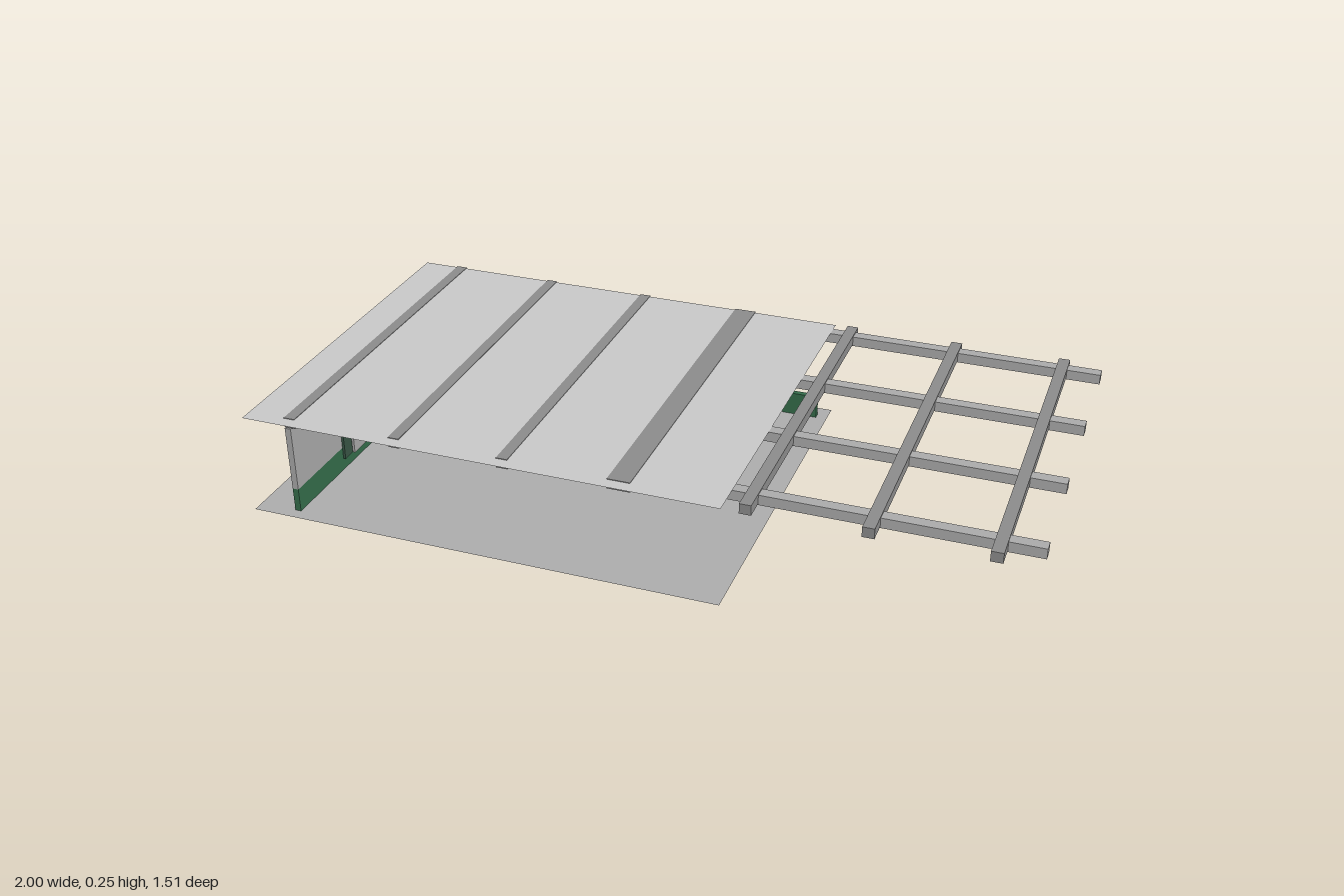
import * as THREE from 'three';

const mat = (name, color, side = THREE.FrontSide) => {
  const m = new THREE.MeshStandardMaterial({ color, side });
  m.name = name;
  return m;
};

export function createModel() {
  const model = new THREE.Group();
  model.name = 'pavilion';
  model.rotation.y = Math.atan2(0.365, 0.931); // the building stands turned on its site

  const roofGrey = mat('roof grey', 0xc8c8c8, THREE.DoubleSide);
  const floorGrey = mat('floor grey', 0xadadad, THREE.DoubleSide);
  const beamGrey = mat('beam grey', 0x8c8c8c);
  const railGrey = mat('rafter grey', 0xababab);
  const wallGrey = mat('wall grey', 0xa8a8a8);
  const green = mat('plinth green', 0x346c4a);
  const boardGreen = mat('board green', 0x385545);
  const dark = mat('frame dark', 0x3a3a3a);

  // Box given by its limits along each axis
  const box = (name, material, [x0, x1], [y0, y1], [z0, z1], parent = model) => {
    const mesh = new THREE.Mesh(new THREE.BoxGeometry(x1 - x0, y1 - y0, z1 - z0), material);
    mesh.position.set((x0 + x1) / 2, (y0 + y1) / 2, (z0 + z1) / 2);
    mesh.name = name;
    parent.add(mesh);
    return mesh;
  };
  const sheet = (name, material, y) => {
    const mesh = new THREE.Mesh(new THREE.PlaneGeometry(1.152, 0.924).rotateX(-Math.PI / 2), material);
    mesh.position.set(-0.315, y, -0.005);
    mesh.name = name;
    model.add(mesh);
  };
  const group = (name) => {
    const g = new THREE.Group();
    g.name = name;
    model.add(g);
    return g;
  };

  // Floor and roof sheets of equal size
  sheet('floor', floorGrey, 0.001);
  sheet('roof', roofGrey, 0.247);

  // Main beams across the building and pergola, tops just proud of the roof
  const beams = group('beams');
  for (const x of [-0.787, -0.521, -0.255, 0.02, 0.305, 0.57, 0.835]) {
    const h = x === 0.02 ? 0.027 : 0.0135;
    box('beam', beamGrey, [x - h, x + h], [0.224, 0.2485], [-0.47, 0.426], beams);
  }

  // Long rafters running the full length
  const rafters = group('rafters');
  for (const z of [-0.433, -0.169, 0.097, 0.362]) {
    box('rafter', railGrey, [-0.875, 0.928], [0.221, 0.2455], [z - 0.014, z + 0.014], rafters);
  }

  // Side wall: green plinth with grey wall above
  box('sidePlinth', green, [-0.8, -0.785], [0, 0.06], [-0.431, 0.428]);
  box('sideWall', wallGrey, [-0.8, -0.785], [0.06, 0.222], [-0.431, 0.428]);

  // Back wall: low plinth and a corner pier
  box('backPlinth', green, [-0.785, 0.233], [0, 0.06], [-0.431, -0.416]);
  box('cornerPier', wallGrey, [-0.785, -0.757], [0.06, 0.222], [-0.431, -0.416]);

  // Wall board with a panel sliding in front of it
  box('board', boardGreen, [-0.785, -0.779], [0.03, 0.178], [-0.256, 0.222]);
  box('boardPanel', wallGrey, [-0.777, -0.771], [0.032, 0.19], [-0.044, 0.19]);

  // Sliding windows: four bays, each with two overlapping sashes
  const windows = group('windows');
  const start = -0.757, bays = 4, bay = (0.055 - start) / bays, t = 0.003;
  const upright = (name, x, z) =>
    box(name, dark, [x - t, x + t], [0.06, 0.213], [z - t, z + t], windows);
  for (let i = 0; i <= bays; i++) upright('windowPost', start + i * bay, -0.4235);
  for (let i = 0; i < bays; i++) {
    upright('sashStile', start + i * bay + 0.053, -0.427);
    upright('sashStile', start + i * bay + 0.113, -0.42);
  }
  for (const y of [0.063, 0.103, 0.21]) {
    const h = y === 0.103 ? 0.002 : t;
    box('windowRail', dark, [start, 0.055], [y - h, y + h], [-0.4265, -0.4205], windows);
  }

  // Small round fitting in the room
  const fitting = new THREE.Mesh(new THREE.SphereGeometry(0.007, 12, 8), dark);
  fitting.position.set(-0.406, 0.14, -0.116);
  fitting.name = 'fitting';
  model.add(fitting);

  const root = new THREE.Group();
  root.name = 'building';
  root.add(model);
  return root;
}
